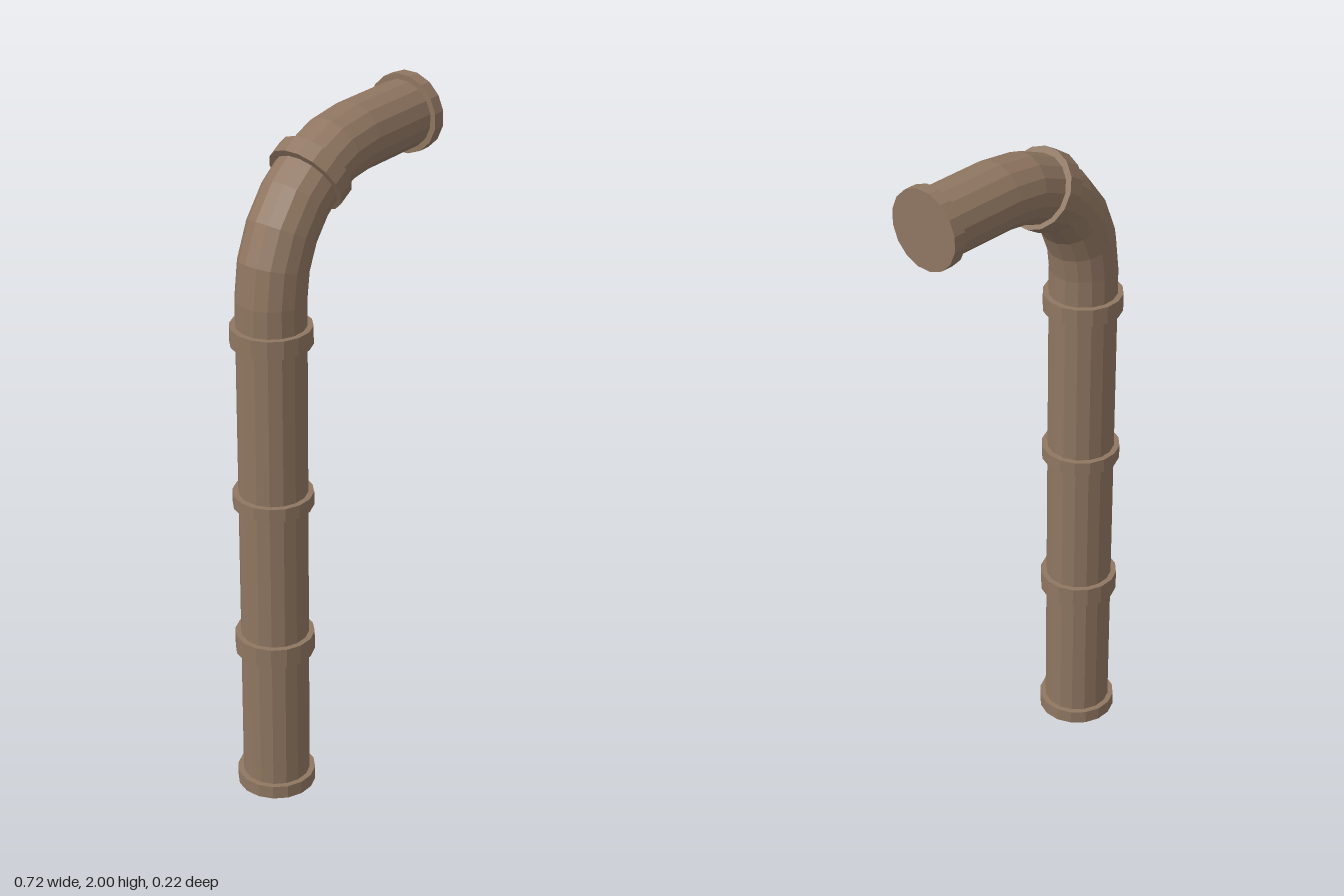
import * as THREE from 'three';

const SIDES = 16;
const FLAT = 1 / Math.cos(Math.PI / SIDES); // flat-to-flat radius -> corner radius
const PIPE_R = 0.095 * FLAT;
const COLLAR_R = 0.111 * FLAT;

// Bend of the pipe: centre, centreline radius
const BEND = { x: 0.1, y: 1.54, r: 0.349 };
const PIPE_X = BEND.x - BEND.r;
const PIPE_Y = BEND.y + BEND.r;

// Point on the bend; a runs from 0 (upright) to PI / 2 (level)
const bendPoint = (a) => [BEND.x - BEND.r * Math.cos(a), BEND.y + BEND.r * Math.sin(a)];

// Sixteen-sided cylinder with flat sides facing the axes
function prism(radius, height, rows = 1, open = false) {
  return new THREE.CylinderGeometry(radius, radius, height, SIDES, rows, open).rotateY(Math.PI / SIDES);
}

// Elbow: cylinder rows laid along the quarter bend
function elbowGeometry(rows) {
  const geo = prism(PIPE_R, 1, rows, true);
  const pos = geo.attributes.position;
  for (let i = 0; i < pos.count; i++) {
    const a = (pos.getY(i) + 0.5) * Math.PI / 2;
    const side = pos.getX(i);
    const [x, y] = bendPoint(a);
    pos.setXY(i, x + side * Math.cos(a), y - side * Math.sin(a));
  }
  geo.computeVertexNormals();
  return geo;
}

export function createModel() {
  const group = new THREE.Group();
  const brown = new THREE.MeshStandardMaterial({ color: 0x8f7661, flatShading: true });
  brown.name = 'brown pipe';

  const add = (name, geo, x = 0, y = 0, angle = 0) => {
    const mesh = new THREE.Mesh(geo, brown);
    mesh.name = name;
    mesh.position.set(x, y, 0);
    mesh.rotation.z = -angle;
    group.add(mesh);
  };

  // Pipe runs
  add('uprightPipe', prism(PIPE_R, BEND.y - 0.01), PIPE_X, (BEND.y + 0.01) / 2);
  add('elbow', elbowGeometry(6));
  add('outletPipe', prism(PIPE_R, 0.25), BEND.x + 0.125, PIPE_Y, Math.PI / 2);

  // Collars on the upright pipe: bottom and top heights
  const collars = [[0, 0.04], [0.45, 0.508], [0.92, 0.96], [1.41, 1.463]];
  collars.forEach(([low, high], i) => {
    add(i ? 'collar' : 'baseCollar', prism(COLLAR_R, high - low), PIPE_X, (low + high) / 2);
  });

  // Collar on the bend and at the outlet
  const a = THREE.MathUtils.degToRad(59);
  add('elbowCollar', prism(COLLAR_R, 0.052), ...bendPoint(a), a);
  add('outletCollar', prism(COLLAR_R, 0.037), 0.3415, PIPE_Y, Math.PI / 2);

  return group;
}
